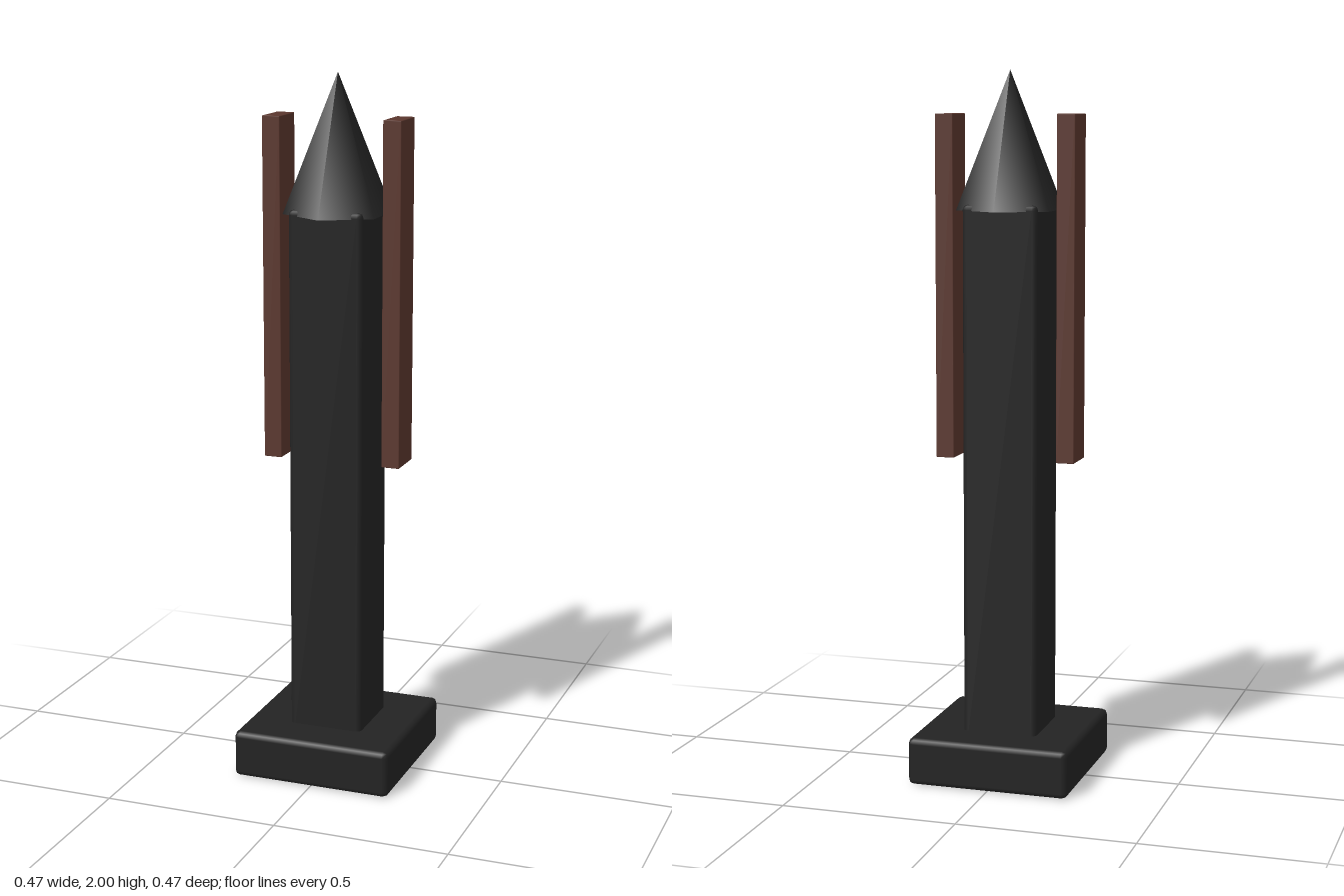
import * as THREE from 'three';
import { RoundedBoxGeometry } from 'three/addons/geometries/RoundedBoxGeometry.js';

export function createModel() {
  const model = new THREE.Group();
  const black = new THREE.MeshStandardMaterial({ color: 0x232323 });
  black.name = 'black iron';
  const brown = new THREE.MeshStandardMaterial({ color: 0x5a362d });
  brown.name = 'brown wood';

  const add = (name, geometry, material, x, y) => {
    const mesh = new THREE.Mesh(geometry, material);
    mesh.name = name;
    mesh.position.set(x, y, 0);
    model.add(mesh);
  };

  // bevelled box spanning y0 to y1
  const block = (name, width, depth, y0, y1, bevel, material, x = 0) =>
    add(name, new RoundedBoxGeometry(width, y1 - y0, depth, 1, bevel), material, x, (y0 + y1) / 2);

  block('base', 0.466, 0.466, 0, 0.135, 0.016, black);
  block('post', 0.216, 0.216, 0.1, 1.632, 0.014, black);

  // six-sided spike with corners to the front and back
  add('spike', new THREE.ConeGeometry(0.154, 0.385, 6), black, 0, 1.8075);

  // upright slats floating on either side
  for (const side of [-1, 1]) {
    block(side > 0 ? 'leftSlat' : 'rightSlat', 0.052, 0.112, 0.915, 1.88, 0.002, brown, side * 0.176);
  }
  return model;
}
